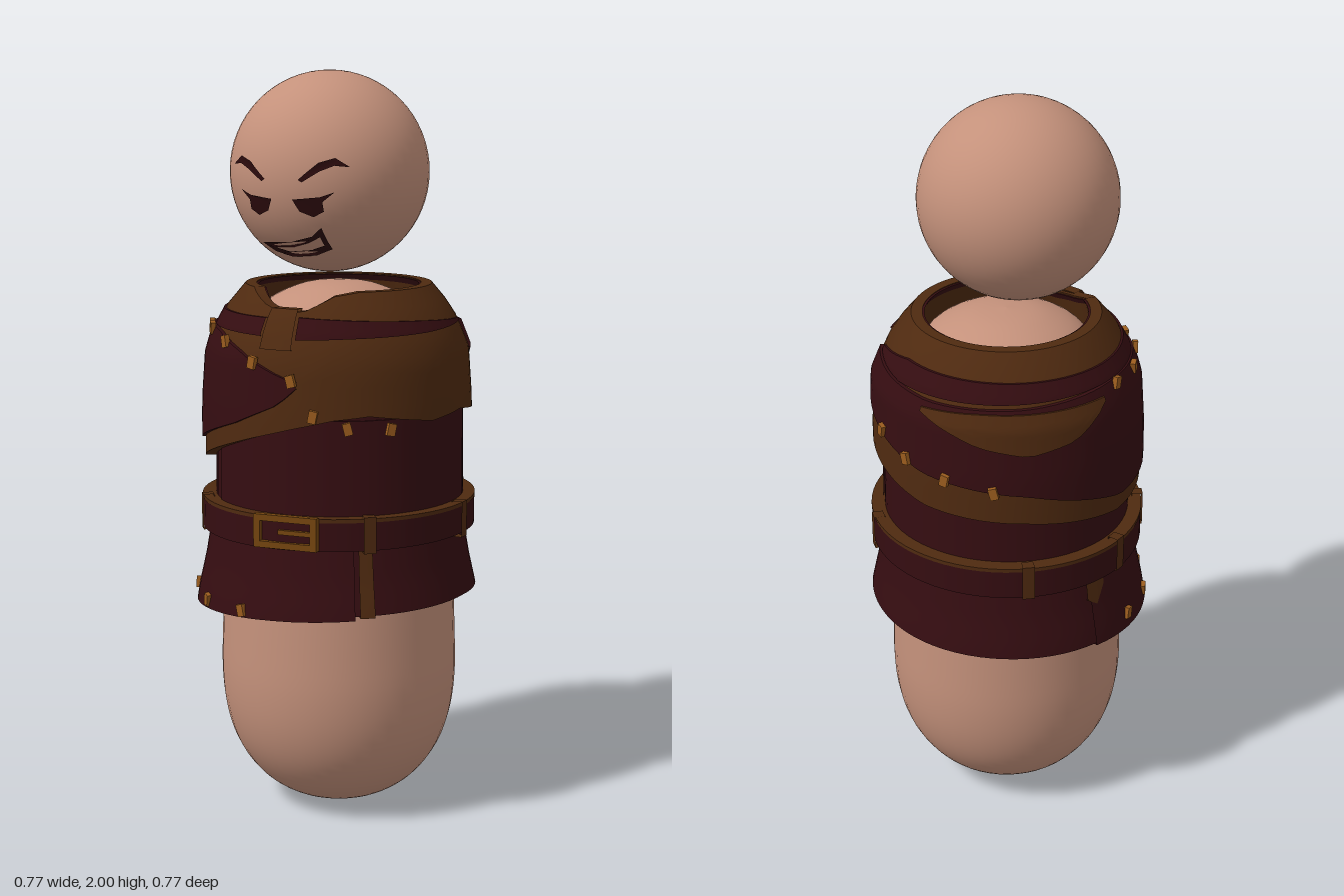
import * as THREE from 'three';
import { toCreasedNormals } from 'three/addons/utils/BufferGeometryUtils.js';

const paint = (name, color, side = THREE.FrontSide) =>
  Object.assign(new THREE.MeshStandardMaterial({ color, side }), { name });

// Linear lookup in rows of [key, value, ...]
function look(rows, k, col = 1) {
  if (k <= rows[0][0]) return rows[0][col];
  for (let i = 1; i < rows.length; i++) {
    const a = rows[i - 1], b = rows[i];
    if (k <= b[0]) return a[col] + (b[col] - a[col]) * (k - a[0]) / (b[0] - a[0]);
  }
  return rows[rows.length - 1][col];
}

// Garment radius by height
const SKIRT = [[0.56, 0.385], [0.62, 0.375], [0.7, 0.357], [0.8, 0.34]];
const TORSO = [[0.78, 0.335], [1.2, 0.33]];
const BELT = [[0.8, 0.37]];
const MANTLE = [[0.95, 0.362], [1.13, 0.36], [1.27, 0.35], [1.34, 0.322], [1.38, 0.3], [1.44, 0.25]];

// Cloth wrapped round the body; keys are [degrees from front toward left, bottom, top]
function wrapGeometry(keys, profile, offset, thick) {
  const from = keys[0][0], to = keys[keys.length - 1][0];
  const n = Math.max(2, Math.ceil((to - from) / 5)), rows = 8, ring = rows + 3;
  const pos = [], index = [];
  for (let i = 0; i <= n; i++) {
    const deg = from + (to - from) * i / n, a = deg * Math.PI / 180;
    const lo = look(keys, deg, 1), hi = look(keys, deg, 2);
    const put = (r, y) => pos.push(r * Math.sin(a), y, r * Math.cos(a));
    put(look(profile, lo) + offset - thick, lo);
    for (let j = 0; j <= rows; j++) {
      const y = lo + (hi - lo) * j / rows;
      put(look(profile, y) + offset, y);
    }
    put(look(profile, hi) + offset - thick, hi);
  }
  for (let i = 0; i < n; i++) for (let j = 0; j < ring; j++) {
    const k = (j + 1) % ring, p = i * ring, q = p + ring;
    index.push(p + j, q + j, q + k, p + j, q + k, p + k);
  }
  const g = new THREE.BufferGeometry();
  g.setAttribute('position', new THREE.Float32BufferAttribute(pos, 3));
  g.setIndex(index);
  return toCreasedNormals(g, 0.6);
}

export function createModel() {
  const model = new THREE.Group();
  const skin = paint('skin', 0xc4917b);
  const maroon = paint('maroon cloth', 0x350d11, THREE.DoubleSide);
  const brown = paint('brown leather', 0x4f2a10, THREE.DoubleSide);
  const gold = paint('stud brass', 0x9a5c1e);
  const brass = paint('buckle brass', 0x74450f);
  const ink = paint('face ink', 0x2a0a0c);

  const add = (name, geometry, material, parent = model) => {
    const m = new THREE.Mesh(geometry, material);
    m.name = name;
    parent.add(m);
    return m;
  };
  const wrap = (name, mat, keys, profile, offset = 0, thick = 0.03) =>
    add(name, wrapGeometry(keys, profile, offset, thick), mat);

  // Rounded body and floating head
  const outline = [[0, 0], [0.07, 0.008], [0.15, 0.035], [0.22, 0.085], [0.275, 0.16], [0.308, 0.25],
    [0.322, 0.36], [0.32, 0.5], [0.312, 0.7], [0.3, 0.95], [0.28, 1.17], [0.25, 1.3],
    [0.2, 1.385], [0.1, 1.435], [0, 1.447]].map(p => new THREE.Vector2(...p));
  const smooth = new THREE.SplineCurve(outline).getPoints(60);
  smooth.forEach(p => { p.x = Math.max(0, p.x); p.y = Math.max(0, p.y); });
  add('body', new THREE.LatheGeometry(smooth, 48), skin);
  add('head', new THREE.SphereGeometry(0.263, 48, 32), skin).position.set(0, 1.737, 0.052);

  // Face features are flat shapes pressed onto the head
  const dense = pts => pts.flatMap((p, i) => {
    const q = pts[(i + 1) % pts.length];
    return [0, 1 / 3, 2 / 3].map(t => new THREE.Vector2(p[0] + (q[0] - p[0]) * t, p[1] + (q[1] - p[1]) * t));
  });
  const feature = (name, pts, hole) => {
    const s = new THREE.Shape(dense(pts));
    if (hole) s.holes.push(new THREE.Path(dense(hole)));
    const g = new THREE.ShapeGeometry(s), p = g.attributes.position;
    for (let i = 0; i < p.count; i++) {
      const x = p.getX(i), y = p.getY(i) - 1.737;
      p.setZ(i, 0.052 + Math.sqrt(0.268 ** 2 - x * x - y * y));
    }
    g.computeVertexNormals();
    add(name, g, ink);
  };
  const brow = [[-0.168, 1.762], [-0.135, 1.785], [-0.098, 1.773], [-0.048, 1.73], [-0.058, 1.724], [-0.102, 1.752], [-0.135, 1.766]];
  const eye = [[-0.135, 1.7], [-0.1, 1.687], [-0.03, 1.68], [-0.045, 1.65], [-0.078, 1.636], [-0.105, 1.65], [-0.105, 1.675]];
  for (const [side, s] of [['right', 1], ['left', -1]]) {
    feature(side + 'Brow', brow.map(([x, y]) => [x * s, y]));
    feature(side + 'Eye', eye.map(([x, y]) => [x * s, y]));
  }
  feature('grin',
    [[-0.105, 1.56], [0, 1.568], [0.06, 1.584], [0.09, 1.608], [0.096, 1.55], [0.05, 1.532], [-0.02, 1.525], [-0.07, 1.538]],
    [[-0.062, 1.55], [0, 1.554], [0.05, 1.568], [0.08, 1.583], [0.082, 1.56], [0.045, 1.547], [-0.02, 1.54]]);

  // Skirt, its front flap and trim
  wrap('skirt', maroon, [[-180, 0.6, 0.8], [-90, 0.585, 0.8], [0, 0.61, 0.8], [90, 0.62, 0.8], [180, 0.6, 0.8]], SKIRT, 0, 0.05);
  wrap('skirtFlap', maroon, [[-105, 0.585, 0.79], [-60, 0.57, 0.79], [0, 0.595, 0.79], [34, 0.605, 0.79]], SKIRT, 0.006);
  wrap('skirtStrip', brown, [[36, 0.61, 0.79], [42, 0.61, 0.79]], SKIRT, 0.006);
  wrap('skirtPatch', brown, [[-107, 0.72, 0.77], [-102, 0.7, 0.77], [-97, 0.75, 0.77]], SKIRT, 0.008);

  // Torso with an overlapping panel
  wrap('torso', maroon, [[-180, 0.78, 1.15], [180, 0.78, 1.15]], TORSO, 0, 0.04);
  wrap('torsoPanel', maroon, [[-40, 0.87, 1.12], [125, 0.87, 1.12]], TORSO, 0.005);

  // Belt with edging, loops and buckle
  wrap('belt', maroon, [[-180, 0.785, 0.865], [-90, 0.778, 0.86], [90, 0.79, 0.865], [180, 0.785, 0.865]], BELT, 0, 0.04);
  wrap('beltEdge', brown, [[-180, 0.863, 0.873], [-90, 0.858, 0.868], [90, 0.863, 0.873], [180, 0.863, 0.873]], BELT, 0.001, 0.04);
  for (const d of [-135, -90, -50, 40, 90, 142])
    wrap('beltLoop', brown, [[d - 2.5, 0.78, 0.876], [d + 2.5, 0.78, 0.876]], BELT, 0.006);
  const rect = (T, w, h) => new T([[-w, -h], [w, -h], [w, h], [-w, h]].map(p => new THREE.Vector2(...p)));
  const frame = rect(THREE.Shape, 0.088, 0.044);
  frame.holes.push(rect(THREE.Path, 0.07, 0.027));
  const buckle = new THREE.Group();
  buckle.name = 'buckle';
  add('buckleFrame', new THREE.ExtrudeGeometry(frame, { depth: 0.018, bevelEnabled: false }), brass, buckle);
  add('buckleProng', new THREE.BoxGeometry(0.1, 0.012, 0.012), brass, buckle).position.set(0.03, 0, 0.012);
  buckle.position.set(0.038, 0.832, 0.36);
  buckle.rotation.y = 0.1;
  model.add(buckle);

  // Brown shoulder wrap with a low front neckline
  wrap('mantle', brown, [[-180, 1.02, 1.44], [-135, 1.0, 1.44], [-90, 0.96, 1.44], [-60, 0.97, 1.44], [-35, 1.02, 1.44],
    [-12, 1.065, 1.4], [8, 1.1, 1.39], [25, 1.125, 1.43], [40, 1.135, 1.44], [70, 1.11, 1.44],
    [90, 1.125, 1.44], [120, 1.1, 1.44], [150, 1.06, 1.44], [180, 1.02, 1.44]], MANTLE, 0, 0.03);
  wrap('collarLining', maroon, [[-180, 1.32, 1.437], [-35, 1.32, 1.437], [-12, 1.32, 1.395], [8, 1.32, 1.385],
    [25, 1.32, 1.425], [40, 1.32, 1.437], [180, 1.32, 1.437]], MANTLE, -0.026, 0.012);

  // Dark strip below the collar and the neck tab
  wrap('collarStrip', maroon, [[8, 1.325, 1.38], [30, 1.33, 1.375], [70, 1.335, 1.365], [110, 1.345, 1.35]], MANTLE, 0.005);
  wrap('collarStripBack', maroon, [[-230, 1.34, 1.35], [-200, 1.325, 1.38], [-90, 1.335, 1.375], [-10, 1.33, 1.375]], MANTLE, 0.005);
  wrap('neckTab', brown, [[-8, 1.3, 1.4], [7, 1.3, 1.4]], MANTLE, 0.012);

  // Dark pointed sash running round the right side and back
  wrap('sash', maroon, [[-236, 1.26, 1.335], [-225, 1.205, 1.335], [-205, 1.165, 1.325], [-180, 1.12, 1.315], [-135, 1.085, 1.32],
    [-90, 1.01, 1.335], [-60, 1.02, 1.335], [-40, 1.06, 1.325], [-20, 1.1, 1.29], [2, 1.16, 1.235], [10, 1.205, 1.22]],
  MANTLE, 0.01);
  wrap('sashWedge', brown, [[-182, 1.29, 1.3], [-155, 1.225, 1.31], [-135, 1.2, 1.31], [-115, 1.225, 1.31], [-98, 1.3, 1.31]], MANTLE, 0.015);

  // Studs: [degrees, height]
  const studs = (name, list, profile, offset) => list.forEach(([d, y], i) => {
    const a = d * Math.PI / 180, r = look(profile, y) + offset;
    const m = add(name, new THREE.BoxGeometry(0.022, 0.032, 0.014), gold);
    m.position.set(r * Math.sin(a), y, r * Math.cos(a));
    m.rotation.set(0, a, i % 2 ? 0.25 : -0.2, 'YXZ');
  });
  studs('sashStud', [[-88, 1.325], [-69, 1.32], [-51, 1.325], [-30, 1.305], [-10, 1.265], [8, 1.225],
    [155, 1.18], [172, 1.145], [-169, 1.12], [-149, 1.1]], MANTLE, 0.014);
  studs('mantleStud', [[17, 1.135], [31, 1.105], [49, 1.1]], MANTLE, 0.005);
  studs('hemStud', [[-84, 0.62], [-62, 0.61], [-38, 0.602], [-14, 0.608]], SKIRT, 0.008);

  return model;
}
